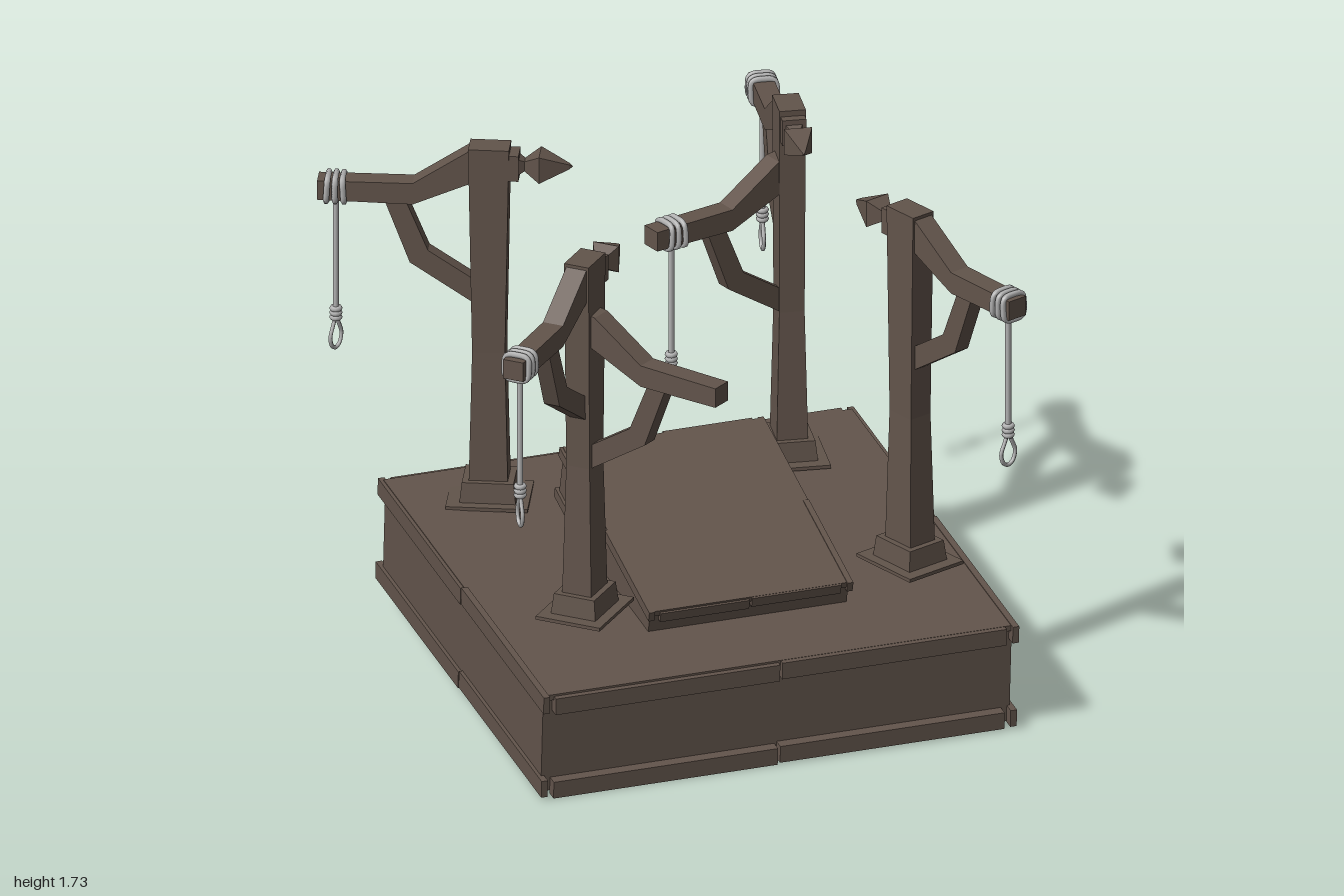
import * as THREE from 'three';

const wood = new THREE.MeshStandardMaterial({ color: 0x62544b, flatShading: true });
wood.name = 'dark wood';
const rope = new THREE.MeshStandardMaterial({ color: 0xb4b4b4 });
rope.name = 'grey rope';

function add(parent, name, geometry, material, x = 0, y = 0, z = 0) {
  const mesh = new THREE.Mesh(geometry, material);
  mesh.name = name;
  mesh.position.set(x, y, z);
  parent.add(mesh);
  return mesh;
}

function box(parent, name, w, h, d, x, y, z) {
  return add(parent, name, new THREE.BoxGeometry(w, h, d), wood, x, y, z);
}

// Square block between two heights, with its own size at each end
function taperedBlock(parent, name, y0, y1, [w0, d0], [w1, d1]) {
  const g = new THREE.BoxGeometry(1, y1 - y0, 1);
  const p = g.attributes.position;
  for (let i = 0; i < p.count; i++) {
    const top = p.getY(i) > 0;
    p.setX(i, p.getX(i) * (top ? w1 : w0));
    p.setZ(i, p.getZ(i) * (top ? d1 : d0));
  }
  g.computeVertexNormals();
  return add(parent, name, g, wood, 0, (y0 + y1) / 2, 0);
}

// Side outline in (outward, up), extruded to a centred thickness
function plank(parent, name, points, thickness) {
  const shape = new THREE.Shape(points.map(([x, y]) => new THREE.Vector2(x, y)));
  const g = new THREE.ExtrudeGeometry(shape, { depth: thickness, bevelEnabled: false });
  g.translate(0, 0, -thickness / 2);
  return add(parent, name, g, wood);
}

// Open-bottomed deck with split trim boards along its upper and lower edges
function deck(name, w, h, d, trimH, sideOut, endOut) {
  const group = new THREE.Group();
  group.name = name;
  const t = 0.02;
  box(group, 'deckTop', w, t, d + endOut, 0, h / 2 - t / 2, 0);
  for (const s of [-1, 1]) {
    box(group, 'endWall', w, h - 0.01, t, 0, 0, s * (d / 2 - t / 2));
    box(group, 'sideWall', t, h - 0.01, d, s * (w / 2 - t / 2), 0, 0);
    for (const v of [-1, 1]) {
      const y = v * (h - trimH) / 2;
      for (const half of [-1, 1]) {
        const endLen = w / 2 - 0.035;
        box(group, 'endTrim', endLen, trimH, endOut,
          half * (endLen / 2 + 0.004), y - 0.004 + half * 0.003, s * (d + endOut) / 2);
        const sideLen = d / 2 + endOut - 0.003;
        box(group, 'sideTrim', sideOut + 0.01, trimH, sideLen,
          s * (w / 2 + sideOut / 2 - 0.005), y + half * 0.003, half * (sideLen / 2 + 0.003));
      }
    }
  }
  return group;
}

// Noose: wraps around the beam, hanging cord, knot and teardrop loop
function noose(parent, x, y, yaw) {
  const g = new THREE.Group();
  g.name = 'noose';
  g.position.set(x, y, 0);
  parent.add(g);

  const ringPoints = [];
  for (let i = 0; i < 16; i++) {
    const a = (i / 16) * Math.PI * 2, c = Math.cos(a), s = Math.sin(a);
    ringPoints.push(new THREE.Vector3(0,
      0.044 * Math.sign(s) * Math.sqrt(Math.abs(s)),
      0.044 * Math.sign(c) * Math.sqrt(Math.abs(c))));
  }
  const ring = new THREE.TubeGeometry(new THREE.CatmullRomCurve3(ringPoints, true), 32, 0.01, 6, true);
  for (let i = -1; i <= 1; i++) {
    const m = add(g, 'ropeWrap', ring, rope, i * 0.027, 0, 0);
    m.rotation.z = i * 0.06;
  }

  add(g, 'cord', new THREE.CylinderGeometry(0.01, 0.01, 0.42, 8), rope, 0, -0.245, 0);
  const knot = new THREE.TorusGeometry(0.013, 0.009, 6, 12).rotateX(Math.PI / 2);
  for (let i = 0; i < 3; i++) add(g, 'knot', knot, rope, 0, -0.437 - i * 0.016, 0);

  const loopPoints = [[0, 0], [0.018, -0.03], [0.031, -0.065], [0.02, -0.098],
    [0, -0.108], [-0.02, -0.098], [-0.031, -0.065], [-0.018, -0.03]]
    .map(([px, py]) => new THREE.Vector3(px, py, 0));
  const curve = new THREE.CatmullRomCurve3(loopPoints, true);
  const loop = add(g, 'loop', new THREE.TubeGeometry(curve, 32, 0.007, 6, true), rope, 0, -0.47, 0);
  loop.rotation.y = yaw;
}

// Bent beam with its angled brace
function arm(parent, dir, drop, tip, ropeAt, loopYaw) {
  const g = new THREE.Group();
  g.name = 'arm';
  g.rotation.y = dir;
  g.position.y = -drop;
  parent.add(g);
  plank(g, 'beam', [[0.03, 1.615], [0.07, 1.6], [0.25, 1.522], [tip, 1.526],
    [tip, 1.594], [0.25, 1.597], [0.065, 1.72], [0.03, 1.725]], 0.072);
  plank(g, 'brace', [[0.03, 1.16], [0.26, 1.31], [0.345, 1.535],
    [0.275, 1.535], [0.2, 1.355], [0.03, 1.245]], 0.056);
  if (ropeAt) noose(g, ropeAt, 1.56, loopYaw - dir);
}

// Angle that turns +x towards a ground direction
const heading = (from, to) => Math.atan2(from[1] - to[1], to[0] - from[0]);
const distance = (from, to) => Math.hypot(to[0] - from[0], to[1] - from[1]);

function gallows({ at, to, ropeAt, yaw, second }) {
  const g = new THREE.Group();
  g.name = 'gallows';
  g.position.set(at[0], 0, at[1]);
  const dir = heading(at, to);

  const post = new THREE.Group();
  post.name = 'post';
  post.rotation.y = dir;
  g.add(post);
  taperedBlock(post, 'footPlate', 0.464, 0.476, [0.27, 0.23], [0.27, 0.23]);
  taperedBlock(post, 'plinth', 0.476, 0.545, [0.185, 0.16], [0.17, 0.145]);
  taperedBlock(post, 'lowerPost', 0.545, 1.0, [0.128, 0.104], [0.108, 0.084]);
  taperedBlock(post, 'upperPost', 1.0, 1.73, [0.108, 0.084], [0.134, 0.088]);

  // Spike on the side opposite the main beam
  box(post, 'spikeCollar', 0.036, 0.09, 0.08, -0.08, 1.665, 0);
  const spikeProfile = [[0, 0], [0.04, 0], [0.024, 0.02], [0.03, 0.027], [0.066, 0.07], [0.012, 0.165], [0, 0.178]]
    .map(([r, h]) => new THREE.Vector2(r, h));
  const spike = new THREE.LatheGeometry(spikeProfile, 4);
  spike.rotateY(Math.PI / 4).rotateZ(Math.PI / 2);
  add(post, 'spike', spike, wood, -0.096, 1.665, 0);

  arm(g, dir, 0, distance(at, to), ropeAt, yaw);
  if (second) {
    arm(g, heading(at, second.to), 0.175, distance(at, second.to), second.ropeAt, second.yaw);
  }
  return g;
}

export function createModel() {
  const model = new THREE.Group();
  model.name = 'gallowsPlatform';

  const base = deck('base', 1.63, 0.37, 1.52, 0.06, 0.012, 0.038);
  base.position.set(0.105, 0.245, 0.09);
  base.rotation.x = 0.07;
  model.add(base);

  const platform = deck('raisedPlatform', 0.69, 0.205, 0.86, 0.035, 0.01, 0.016);
  platform.position.set(0.107, 0.495, 0.146);
  platform.rotation.x = 0.262;
  model.add(platform);

  const posts = [
    { at: [-0.415, -0.468], to: [-0.925, -0.708], ropeAt: 0.505, yaw: 0.6 },
    { at: [0.62, -0.45], to: [0.712, -0.99], ropeAt: 0.49, yaw: 1.4,
      second: { to: [0.088, -0.307], ropeAt: 0.47, yaw: 0.95 } },
    { at: [-0.425, 0.472], to: [-0.82, 0.875], ropeAt: 0.51, yaw: 1.5,
      second: { to: [-0.113, 0.925] } },
    { at: [0.708, 0.468], to: [0.897, 0.978], ropeAt: 0.497, yaw: 0.4 },
  ];
  for (const p of posts) model.add(gallows(p));
  return model;
}
